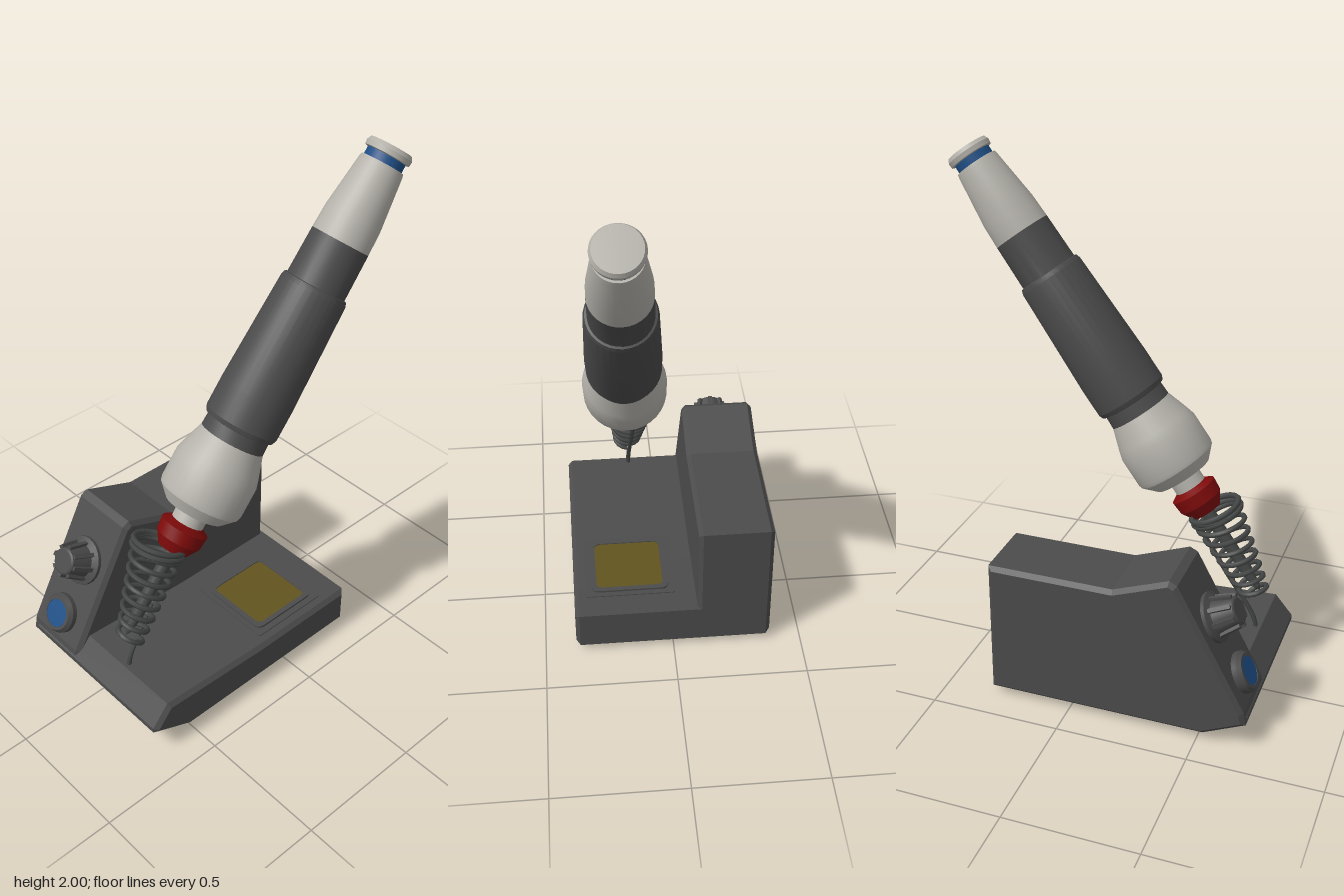
import * as THREE from 'three';
import { toCreasedNormals } from 'three/addons/utils/BufferGeometryUtils.js';

const mat = (name, color, side = THREE.FrontSide) => {
  const m = new THREE.MeshStandardMaterial({ color, side });
  m.name = name;
  return m;
};

export function createModel() {
  const M = {
    base: mat('charcoal plastic', 0x4c4c4c),
    grip: mat('dark rubber', 0x4a4a4a, THREE.DoubleSide),
    grey: mat('light grey plastic', 0xb4b1aa, THREE.DoubleSide),
    red: mat('red collar', 0x7d0a0a, THREE.DoubleSide),
    blue: mat('blue', 0x1f4f86),
    sponge: mat('ochre sponge', 0x62541f),
    metal: mat('dark metal', 0x454747),
  };
  const model = new THREE.Group();
  model.name = 'solderingStation';
  const V = (x, y, z) => new THREE.Vector3(x, y, z);
  const UP = V(0, 1, 0);

  const add = (name, geo, material, parent = model, pos = [0, 0, 0]) => {
    const mesh = new THREE.Mesh(geo, material);
    mesh.name = name;
    mesh.position.set(...pos);
    parent.add(mesh);
    return mesh;
  };
  // Group whose local +y runs along a direction
  const aimed = (name, pos, dir) => {
    const g = new THREE.Group();
    g.name = name;
    g.position.copy(pos);
    g.quaternion.setFromUnitVectors(UP, dir.clone().normalize());
    model.add(g);
    return g;
  };
  const lathe = (pts, seg = 32) => toCreasedNormals(
    new THREE.LatheGeometry(pts.map(p => new THREE.Vector2(...p)), seg), 0.35);
  // Chamfered side profile extruded between two z values
  const slab = (pts, z0, z1, b) => {
    const geo = new THREE.ExtrudeGeometry(new THREE.Shape(pts.map(p => new THREE.Vector2(...p))), {
      depth: z1 - z0 - 2 * b, bevelEnabled: true, bevelSegments: 1,
      bevelSize: b, bevelThickness: b, bevelOffset: -b,
    });
    geo.translate(0, 0, z0 + b);
    return toCreasedNormals(geo, 0.2);
  };

  // Housing: tall rear block and low front tray
  add('rearBlock', slab([[-0.52, 0.025], [0.315, 0.025], [0.315, 0.56], [-0.17, 0.56],
    [-0.38, 0.64], [-0.41, 0.625], [-0.67, 0.15], [-0.68, 0.1]], -0.38, -0.095, 0.016), M.base);
  add('frontTray', slab([[-0.52, 0.025], [0.315, 0.025], [0.315, 0.18], [-0.15, 0.18],
    [-0.61, 0.203], [-0.68, 0.12], [-0.68, 0.1]], -0.36, 0.38, 0.016), M.base);

  // Sponge tray: outer plate, raised rim and sponge
  const rounded = (w, d, r) => {
    const s = new THREE.Shape();
    s.moveTo(-w + r, -d).lineTo(w - r, -d).quadraticCurveTo(w, -d, w, -d + r)
      .lineTo(w, d - r).quadraticCurveTo(w, d, w - r, d)
      .lineTo(-w + r, d).quadraticCurveTo(-w, d, -w, d - r)
      .lineTo(-w, -d + r).quadraticCurveTo(-w, -d, -w + r, -d);
    return s;
  };
  const flat = (shape, h) => new THREE.ExtrudeGeometry(shape, { depth: h, bevelEnabled: false })
    .rotateX(-Math.PI / 2);
  add('spongePlate', flat(rounded(0.165, 0.175, 0.01), 0.008), M.base, model, [0.05, 0.176, 0.16]);
  const rim = rounded(0.145, 0.15, 0.03);
  rim.holes.push(rounded(0.125, 0.13, 0.025));
  add('spongeRim', flat(rim, 0.012), M.base, model, [0.05, 0.18, 0.16]);
  add('sponge', flat(rounded(0.125, 0.13, 0.025), 0.008), M.sponge, model, [0.05, 0.18, 0.16]);

  // Slotted feet
  for (const x of [-0.41, 0.19]) for (const z of [-0.3, 0.3]) {
    add('foot', new THREE.CylinderGeometry(0.04, 0.04, 0.03, 20), M.grey, model, [x, 0.016, z])
      .scale.z = 0.85;
    add('footSlot', new THREE.BoxGeometry(0.07, 0.004, 0.008), M.metal, model, [x, 0.002, z]);
  }

  // Temperature knob and power button on the sloping face
  const out = V(-0.876, 0.483, 0);
  const knob = aimed('knob', V(-0.51, 0.44, -0.235), out);
  add('knobBody', lathe([[0.095, -0.01], [0.095, 0.015], [0.068, 0.025], [0.052, 0.105],
    [0.045, 0.11], [0, 0.11]], 24), M.grip, knob);
  for (let i = 0; i < 8; i++) {
    const a = i * Math.PI / 4;
    const rib = add('knobRib', new THREE.BoxGeometry(0.03, 0.085, 0.016), M.grip, knob,
      [Math.cos(a) * 0.057, 0.06, Math.sin(a) * 0.057]);
    rib.rotation.set(0, -a, 0.18);
  }
  const button = aimed('powerButton', V(-0.625, 0.232, -0.24), out);
  add('buttonRing', lathe([[0.078, -0.01], [0.078, 0.02], [0.066, 0.036], [0.055, 0.036],
    [0.052, 0.025]], 24), M.grip, button);
  add('buttonFace', new THREE.CylinderGeometry(0.054, 0.054, 0.03, 24), M.blue, button, [0, 0.02, 0]);

  // Conical spring holder
  const top = V(-0.41, 0.69, 0.105), bottom = V(-0.585, 0.335, 0.125);
  const span = top.clone().sub(bottom), len = span.length();
  const holder = aimed('springHolder', bottom, span);
  class Helix extends THREE.Curve {
    getPoint(t, target = V(0, 0, 0)) {
      const a = t * Math.PI * 2 * 8, r = 0.048 + 0.05 * t;
      return target.set(Math.cos(a) * r, t * len, Math.sin(a) * r);
    }
  }
  add('spring', new THREE.TubeGeometry(new Helix(), 200, 0.01, 6), M.metal, holder);
  for (const dy of [0, -0.022]) {
    add('springRing', new THREE.TorusGeometry(0.097, 0.011, 6, 32).rotateX(Math.PI / 2),
      M.metal, holder, [0, len + dy, 0]);
  }
  // Wire carrying the spring
  add('supportWire', new THREE.TubeGeometry(new THREE.CatmullRomCurve3([
    V(-0.59, 0.17, 0.118), V(-0.58, 0.235, 0.118), V(-0.46, 0.43, 0.11), V(-0.325, 0.65, 0.1),
  ]), 24, 0.009, 6), M.metal);

  // Iron: each piece is a profile along the same axis
  const iron = aimed('iron', V(-0.32, 0.73, 0.137), V(0.602, 0.798, 0.037));
  const pieces = [
    ['tip', M.metal, [[0, -0.46], [0.012, -0.44], [0.024, -0.37], [0.026, -0.08]]],
    ['redCollar', M.red, [[0.026, -0.085], [0.06, -0.085], [0.088, -0.04], [0.092, 0.01],
      [0.06, 0.03], [0.05, 0.03]]],
    ['neck', M.grey, [[0.062, 0.01], [0.062, 0.09]]],
    ['frontCollar', M.grey, [[0.06, 0.078], [0.115, 0.08], [0.158, 0.125], [0.162, 0.14],
      [0.162, 0.255], [0.152, 0.29], [0.124, 0.375]]],
    ['grip', M.grip, [[0.124, 0.375], [0.122, 0.425], [0.134, 0.428], [0.141, 0.445],
      [0.141, 0.56], [0.127, 0.975], [0.121, 0.992], [0.113, 0.994], [0.11, 1.17]]],
    ['rearSleeve', M.grey, [[0.11, 1.17], [0.107, 1.26], [0.084, 1.455], [0.081, 1.468], [0.068, 1.468]]],
    ['blueRing', M.blue, [[0.073, 1.46], [0.073, 1.51]]],
    ['endCap', M.grey, [[0.07, 1.497], [0.085, 1.5], [0.087, 1.518], [0.079, 1.533], [0, 1.538]]],
  ];
  for (const [name, material, pts] of pieces) add(name, lathe(pts), material, iron);

  return model;
}
